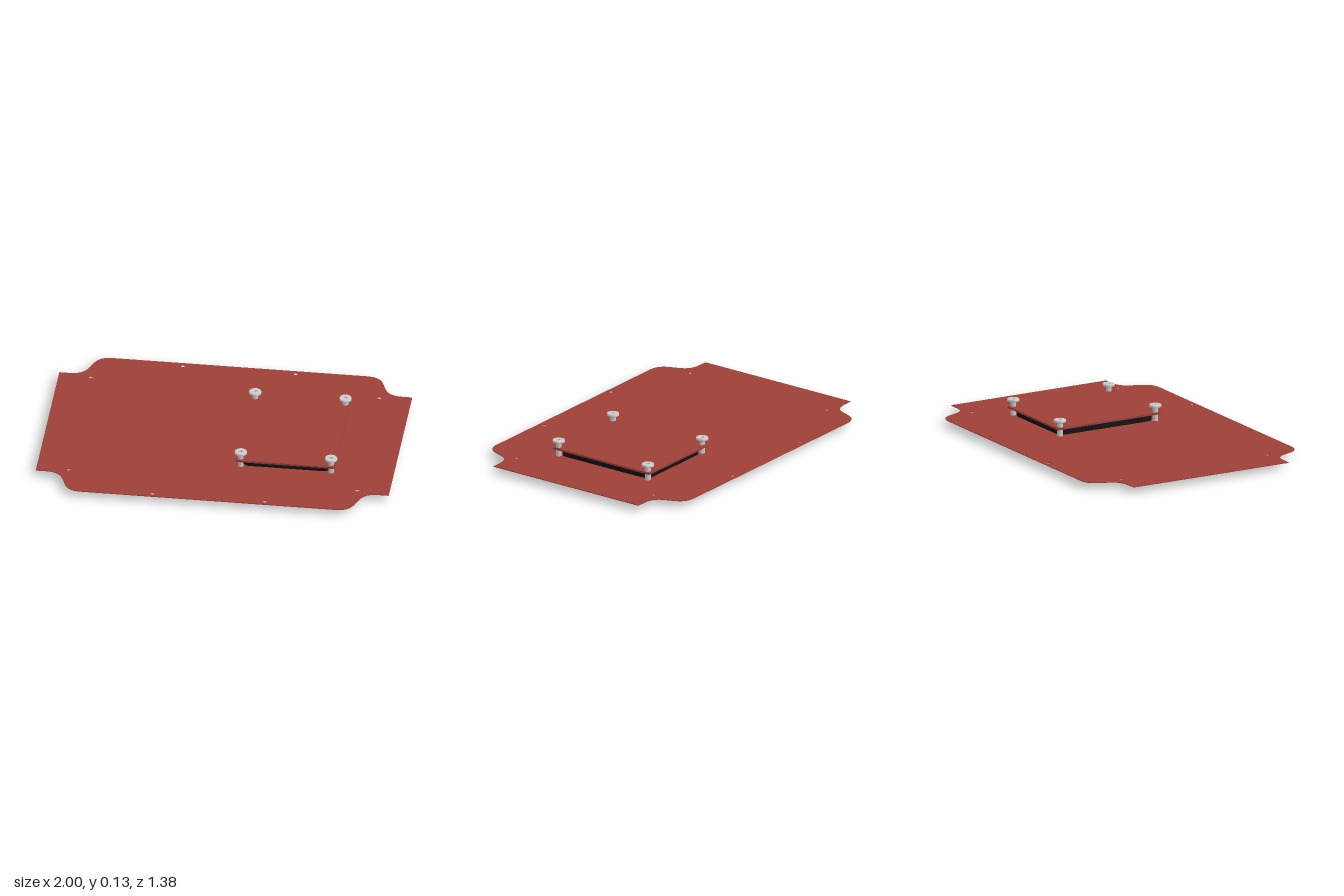
import * as THREE from 'three';

const RED = new THREE.MeshStandardMaterial({ color: 0x9e3f38 });
const BLACK = new THREE.MeshStandardMaterial({ color: 0x111111 });
const STEEL = new THREE.MeshStandardMaterial({ color: 0xcccccc });

// Hatch area and its fastener positions
const CX = 0.392, HALF_W = 0.281, HALF_D = 0.34;
const SCREW_X = 0.256, SCREW_Z = 0.312;

// Rounded rectangle around the hatch centre, shrunk by an inset
function hatchOutline(Type, inset, r) {
  const w = HALF_W - inset, d = HALF_D - inset;
  const s = new Type();
  s.absarc(CX + w - r, d - r, r, 0, Math.PI / 2);
  s.absarc(CX - w + r, d - r, r, Math.PI / 2, Math.PI);
  s.absarc(CX - w + r, -d + r, r, Math.PI, Math.PI * 1.5);
  s.absarc(CX + w - r, -d + r, r, Math.PI * 1.5, Math.PI * 2);
  s.closePath();
  return s;
}

function round(x, z, r) {
  return new THREE.Path().absarc(x, z, r, 0, Math.PI * 2, true);
}

// Lay a flat shape in the ground plane between two heights
function slab(name, shape, y0, y1, material) {
  const geo = new THREE.ExtrudeGeometry(shape, { depth: y1 - y0, bevelEnabled: false, curveSegments: 10 });
  geo.rotateX(-Math.PI / 2).translate(0, y0, 0);
  const mesh = new THREE.Mesh(geo, material);
  mesh.name = name;
  return mesh;
}

// Large sheet with S-curved corner cut-outs, mirrored from one corner
function plateShape() {
  const corner = new THREE.Path();
  corner.moveTo(1, 0.507);
  corner.lineTo(0.945, 0.507);
  corner.bezierCurveTo(0.885, 0.507, 0.855, 0.53, 0.837, 0.58);
  corner.bezierCurveTo(0.815, 0.645, 0.8, 0.69, 0.72, 0.69);
  const pts = corner.getPoints(12);
  const mirrored = (sx, sz) => pts.map(p => new THREE.Vector2(p.x * sx, p.y * sz));
  const shape = new THREE.Shape([
    ...mirrored(1, 1), ...mirrored(-1, 1).reverse(),
    ...mirrored(-1, -1), ...mirrored(1, -1).reverse(),
  ]);
  for (const sx of [-1, 1]) for (const sz of [-1, 1]) {
    shape.holes.push(round(sx * 0.818, sz * 0.479, 0.011), round(sx * 0.319, sz * 0.66, 0.011));
  }
  return shape;
}

// Thumb screw: wide head with a small socket, collar and shank
function screwGeometry() {
  const profile = [
    [0, 0], [0.013, 0], [0.016, 0.003], [0.016, 0.116], [0.018, 0.119],
    [0.031, 0.119], [0.035, 0.122], [0.035, 0.131], [0.033, 0.134],
    [0.01, 0.134], [0.01, 0.124], [0, 0.124],
  ].map(([r, y]) => new THREE.Vector2(r, y));
  // separate bands keep the turned edges crisp
  return profile.slice(1).map((p, i) => new THREE.LatheGeometry([profile[i], p], 28));
}

export function createModel() {
  const model = new THREE.Group();
  model.name = 'accessPanel';

  const plate = plateShape();
  plate.holes.push(hatchOutline(THREE.Path, 0.051, 0.02));
  model.add(slab('basePlate', plate, 0.035, 0.039, RED));

  // Clamping frame under the sheet
  const frame = hatchOutline(THREE.Shape, 0, 0.012);
  frame.holes.push(hatchOutline(THREE.Path, 0.051, 0.02));
  model.add(slab('lowerFrame', frame, 0.023, 0.035, RED));

  // Gasket wall between sheet and cover
  const gasket = hatchOutline(THREE.Shape, 0.03, 0.045);
  gasket.holes.push(hatchOutline(THREE.Path, 0.053, 0.022));
  model.add(slab('gasket', gasket, 0.039, 0.079, BLACK));

  model.add(slab('cover', hatchOutline(THREE.Shape, 0, 0.012), 0.079, 0.09, RED));

  // Four corner screws
  const bands = screwGeometry();
  for (const sx of [-1, 1]) for (const sz of [-1, 1]) {
    const screw = new THREE.Group();
    screw.name = 'screw';
    for (const band of bands) {
      const part = new THREE.Mesh(band, STEEL);
      part.name = 'screwBand';
      screw.add(part);
    }
    screw.position.set(CX + sx * SCREW_X, 0, sz * SCREW_Z);
    model.add(screw);
  }
  return model;
}
